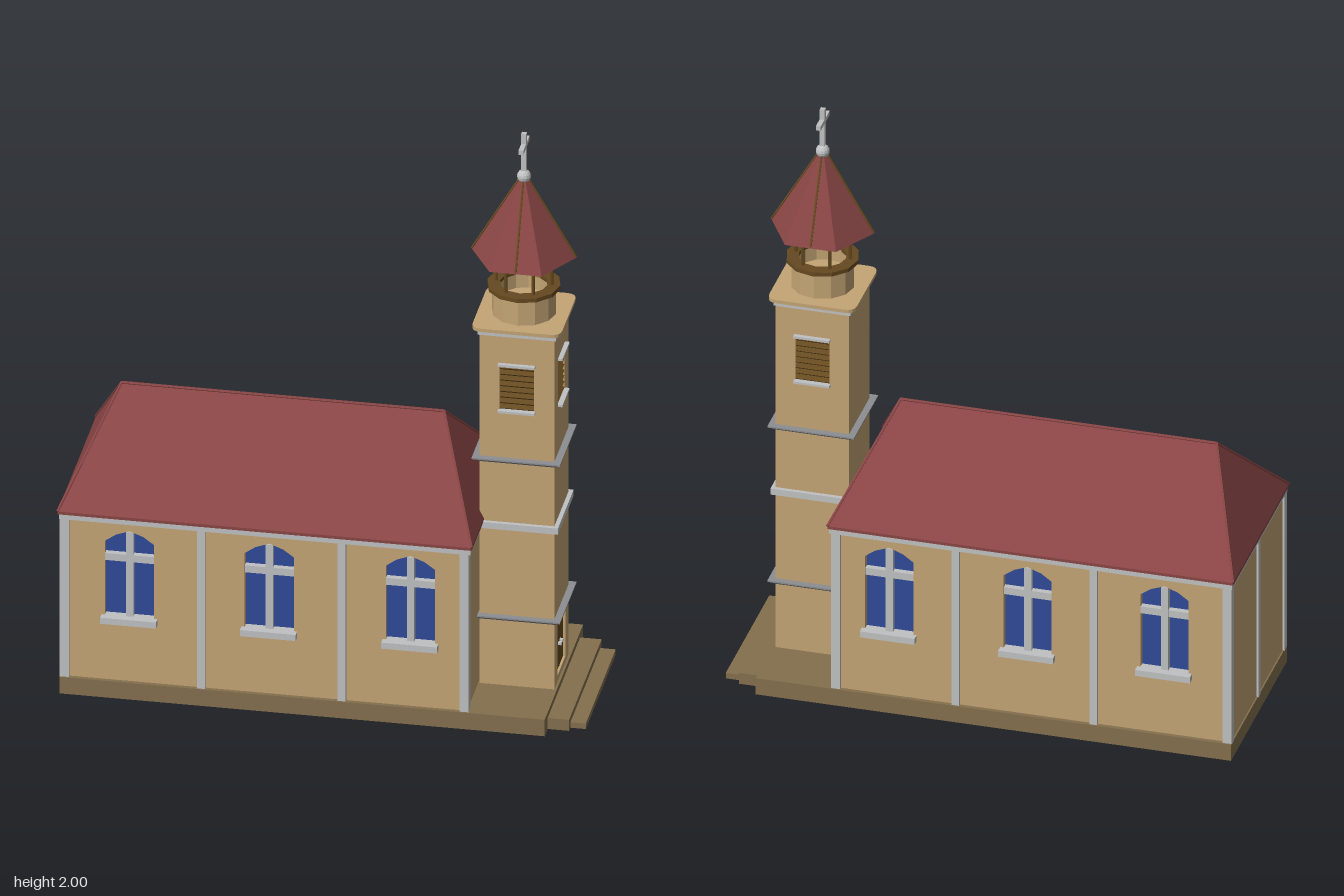
import * as THREE from 'three';

const mat = (name, color, side = THREE.FrontSide) => {
  const m = new THREE.MeshStandardMaterial({ color, side, flatShading: true });
  m.name = name;
  return m;
};

export function createModel() {
  const wallTan = mat('wall tan', 0xc4a574);
  const stone = mat('base stone', 0x84704e);
  const roofRed = mat('roof red', 0x8a4545, THREE.DoubleSide);
  const trim = mat('pale grey trim', 0xc0c1c2);
  const ledgeGrey = mat('ledge grey', 0x8c8e92);
  const glass = mat('blue glass', 0x2f4a98);
  const wood = mat('brown wood', 0x664a20);
  const dark = mat('dark recess', 0x33240f);

  const church = new THREE.Group();
  church.name = 'church';

  const add = (parent, name, geo, material, x = 0, y = 0, z = 0) => {
    const m = new THREE.Mesh(geo, material);
    m.name = name;
    m.position.set(x, y, z);
    parent.add(m);
    return m;
  };
  const box = (parent, name, material, w, h, d, x, y, z) =>
    add(parent, name, new THREE.BoxGeometry(w, h, d), material, x, y, z);
  // box given by its limits
  const span = (parent, name, material, x0, x1, y0, y1, z0, z1) =>
    box(parent, name, material, x1 - x0, y1 - y0, z1 - z0, (x0 + x1) / 2, (y0 + y1) / 2, (z0 + z1) / 2);

  const polygon = pts => pts.map(([x, y]) => new THREE.Vector2(x, y));
  const rect = (x0, x1, y0, y1) => [[x0, y0], [x1, y0], [x1, y1], [x0, y1]];

  // wall panel with openings; outer face at z = 0, thickness going inward
  const panel = (parent, x0, x1, y0, y1, holes, t) => {
    const s = new THREE.Shape(polygon(rect(x0, x1, y0, y1)));
    for (const h of holes) s.holes.push(new THREE.Path(polygon(h)));
    add(parent, 'wall', new THREE.ExtrudeGeometry(s, { depth: t, bevelEnabled: false }), wallTan, 0, 0, -t);
  };
  const facing = (parent, name, x, z, angle) => {
    const g = new THREE.Group();
    g.name = name;
    g.position.set(x, 0, z);
    g.rotation.y = angle;
    parent.add(g);
    return g;
  };

  // Base and entrance steps
  span(church, 'base', stone, -0.85, 0.73, 0, 0.06, -0.331, 0.331);
  span(church, 'upperStep', stone, 0.73, 0.8, 0, 0.04, -0.28, 0.28);
  span(church, 'lowerStep', stone, 0.73, 0.85, 0, 0.02, -0.258, 0.258);

  // Nave
  const nave = new THREE.Group();
  nave.name = 'nave';
  church.add(nave);
  const W = -0.845, E = 0.474, Z = 0.317;
  const windowX = [-0.625, -0.17, 0.29];
  const arch = x => [[x - 0.08, 0.28], [x + 0.08, 0.28], [x + 0.08, 0.56], [x + 0.045, 0.585],
    [x, 0.602], [x - 0.045, 0.585], [x - 0.08, 0.56]];
  for (const s of [1, -1]) {
    const side = facing(nave, s > 0 ? 'frontWall' : 'backWall', 0, s * Z, s > 0 ? 0 : Math.PI);
    const xs = windowX.map(x => x * s);
    panel(side, s > 0 ? W : -E, s > 0 ? E : -W, 0.06, 0.645, xs.map(arch), 0.03);
    for (const x of xs) {
      add(side, 'windowGlass', new THREE.ShapeGeometry(new THREE.Shape(polygon(arch(x)))), glass, 0, 0, -0.022);
      box(side, 'windowMullion', trim, 0.024, 0.316, 0.022, x, 0.439, -0.012);
      box(side, 'windowTransom', trim, 0.16, 0.025, 0.02, x, 0.502, -0.012);
      box(side, 'windowSill', trim, 0.182, 0.022, 0.046, x, 0.282, 0.002);
    }
    for (const x of [-0.391, 0.068]) box(side, 'pilaster', trim, 0.026, 0.575, 0.02, x * s, 0.345, 0);
  }
  span(nave, 'westWall', wallTan, W, W + 0.02, 0.06, 0.645, -0.3, 0.3);
  span(nave, 'eastWall', wallTan, E - 0.02, E, 0.06, 0.645, -0.3, 0.3);
  box(nave, 'westPilaster', trim, 0.02, 0.575, 0.026, W + 0.003, 0.345, 0);
  for (const z of [-0.312, 0.312])
    for (const x of [-0.836, 0.466]) box(nave, 'cornerPilaster', trim, 0.03, 0.575, 0.03, x, 0.345, z);
  span(nave, 'cornice', trim, -0.852, 0.487, 0.63, 0.648, -0.328, 0.328);

  // Hipped roof: eave slab, then a slab-top frame drawn up to the ridge
  span(nave, 'eaves', roofRed, -0.857, 0.492, 0.648, 0.658, -0.331, 0.331);
  const a = [-0.857, 0.658, 0.331], b = [0.492, 0.658, 0.331], c = [0.492, 0.658, -0.331],
    d = [-0.857, 0.658, -0.331], r = [-0.71, 0.968, 0], q = [0.34, 0.968, 0];
  const hip = new THREE.BufferGeometry();
  const faces = [a, b, q, a, q, r, c, d, r, c, r, q, b, c, q, d, a, r];
  hip.setAttribute('position', new THREE.Float32BufferAttribute(faces.flat(), 3));
  hip.computeVertexNormals();
  add(nave, 'hippedRoof', hip, roofRed);
  // rounded caps on ridge and hips
  const rod = (parent, name, from, to, radius, material) => {
    const p = new THREE.Vector3(...from), v = new THREE.Vector3(...to).sub(p);
    const m = add(parent, name, new THREE.CylinderGeometry(radius, radius, v.length(), 6), material);
    m.position.copy(p).addScaledVector(v, 0.5);
    m.quaternion.setFromUnitVectors(new THREE.Vector3(0, 1, 0), v.normalize());
  };
  for (const [p, e] of [[r, q], [a, r], [d, r], [b, q], [c, q]]) rod(nave, 'roofCap', p, e, 0.005, roofRed);

  // Tower, built around its own axis
  const tower = new THREE.Group();
  tower.name = 'tower';
  tower.position.x = 0.6;
  church.add(tower);
  const H = 0.122;
  const louvre = rect(-0.056, 0.056, 1.055, 1.22);
  const door = rect(-0.067, 0.067, 0.082, 0.297);
  const sides = [['frontSide', 0, H, 0], ['entranceSide', H, 0, Math.PI / 2],
    ['backSide', 0, -H, Math.PI], ['naveSide', -H, 0, -Math.PI / 2]];
  sides.forEach(([name, x, z, angle], i) => {
    const g = facing(tower, name, x, z, angle);
    const w = i % 2 ? H - 0.02 : H;
    const holes = i === 3 ? [] : [louvre];
    if (i === 1) holes.push(door);
    panel(g, -w, w, 0.06, 1.34, holes, 0.02);
    if (i !== 3) {
      box(g, 'louvreBack', dark, 0.112, 0.165, 0.004, 0, 1.1375, -0.019);
      for (let k = 0; k < 8; k++)
        box(g, 'louvreSlat', wood, 0.112, 0.004, 0.017, 0, 1.066 + k * 0.0205, -0.009).rotation.x = 0.6;
      for (const y of [1.055, 1.222]) box(g, 'louvreLedge', trim, 0.12, 0.008, 0.026, 0, y, 0.002);
    }
    if (i === 1) {
      box(g, 'door', wood, 0.134, 0.215, 0.006, 0, 0.1895, -0.011);
      box(g, 'doorGap', dark, 0.003, 0.215, 0.002, 0, 0.1895, -0.0075);
      for (const s of [-1, 1]) box(g, 'doorHandle', trim, 0.014, 0.008, 0.012, s * 0.011, 0.17, -0.003);
    }
  });

  // Square ledges, flaring upward to a thin lip
  const ledge = (y, h, low, high, material) => {
    const geo = new THREE.CylinderGeometry(high * Math.SQRT2, low * Math.SQRT2, h, 4).toNonIndexed();
    geo.rotateY(Math.PI / 4);
    geo.computeVertexNormals();
    add(tower, 'ledge', geo, material, 0, y, 0);
  };
  for (const y of [0.305, 0.875]) {
    ledge(y - 0.002, 0.014, 0.126, 0.142, ledgeGrey);
    box(tower, 'ledgeLip', ledgeGrey, 0.288, 0.005, 0.288, 0, y + 0.007, 0);
  }
  box(tower, 'middleBand', trim, 0.272, 0.022, 0.272, 0, 0.64, 0);
  box(tower, 'topCornice', trim, 0.256, 0.02, 0.256, 0, 1.334, 0);

  // Rounded cap plate
  const p = 0.146, k = 0.035;
  const plate = new THREE.Shape();
  plate.moveTo(-p + k, -p);
  plate.lineTo(p - k, -p).quadraticCurveTo(p, -p, p, -p + k);
  plate.lineTo(p, p - k).quadraticCurveTo(p, p, p - k, p);
  plate.lineTo(-p + k, p).quadraticCurveTo(-p, p, -p, p - k);
  plate.lineTo(-p, -p + k).quadraticCurveTo(-p, -p, -p + k, -p);
  const plateGeo = new THREE.ExtrudeGeometry(plate, { depth: 0.012, bevelEnabled: false, curveSegments: 4 });
  add(tower, 'capPlate', plateGeo.rotateX(-Math.PI / 2), wallTan, 0, 1.344, 0);

  // Belfry drum with open top, wooden ring and posts
  const ring = (name, pts, n, material) =>
    add(tower, name, new THREE.LatheGeometry(polygon(pts), n), material);
  ring('belfryDrum', [[0.104, 1.35], [0.104, 1.448], [0.078, 1.448], [0.078, 1.4], [0, 1.4]], 12, wallTan);
  ring('belfryRing', [[0.1, 1.444], [0.119, 1.446], [0.119, 1.46], [0.078, 1.46], [0.078, 1.444], [0.1, 1.444]], 12, wood);
  for (let i = 0; i < 6; i++) {
    const t = i * Math.PI / 3;
    add(tower, 'belfryPost', new THREE.CylinderGeometry(0.006, 0.006, 0.155, 6), wood,
      0.09 * Math.cos(t), 1.53, 0.09 * Math.sin(t));
  }

  // Six-sided spire with ribs
  const spire = new THREE.CylinderGeometry(0.012, 0.17, 0.275, 6, 1, true);
  add(tower, 'spire', spire.rotateY(Math.PI / 2), roofRed, 0, 1.7025, 0);
  for (const s of [-1, 1]) {
    rod(tower, 'spireRib', [s * 0.17, 1.568, 0], [s * 0.012, 1.84, 0], 0.004, wood);
    rod(tower, 'spireRib', [0, 1.568, s * 0.146], [0, 1.84, s * 0.01], 0.004, wood);
  }

  // Ball and cross
  add(tower, 'ball', new THREE.SphereGeometry(0.023, 12, 8), trim, 0, 1.845, 0);
  box(tower, 'crossUpright', trim, 0.016, 0.15, 0.016, 0, 1.925, 0);
  box(tower, 'crossArm', trim, 0.016, 0.016, 0.106, 0, 1.956, 0);

  church.position.z = 0.003;
  const model = new THREE.Group();
  model.name = 'model';
  model.add(church);
  return model;
}
